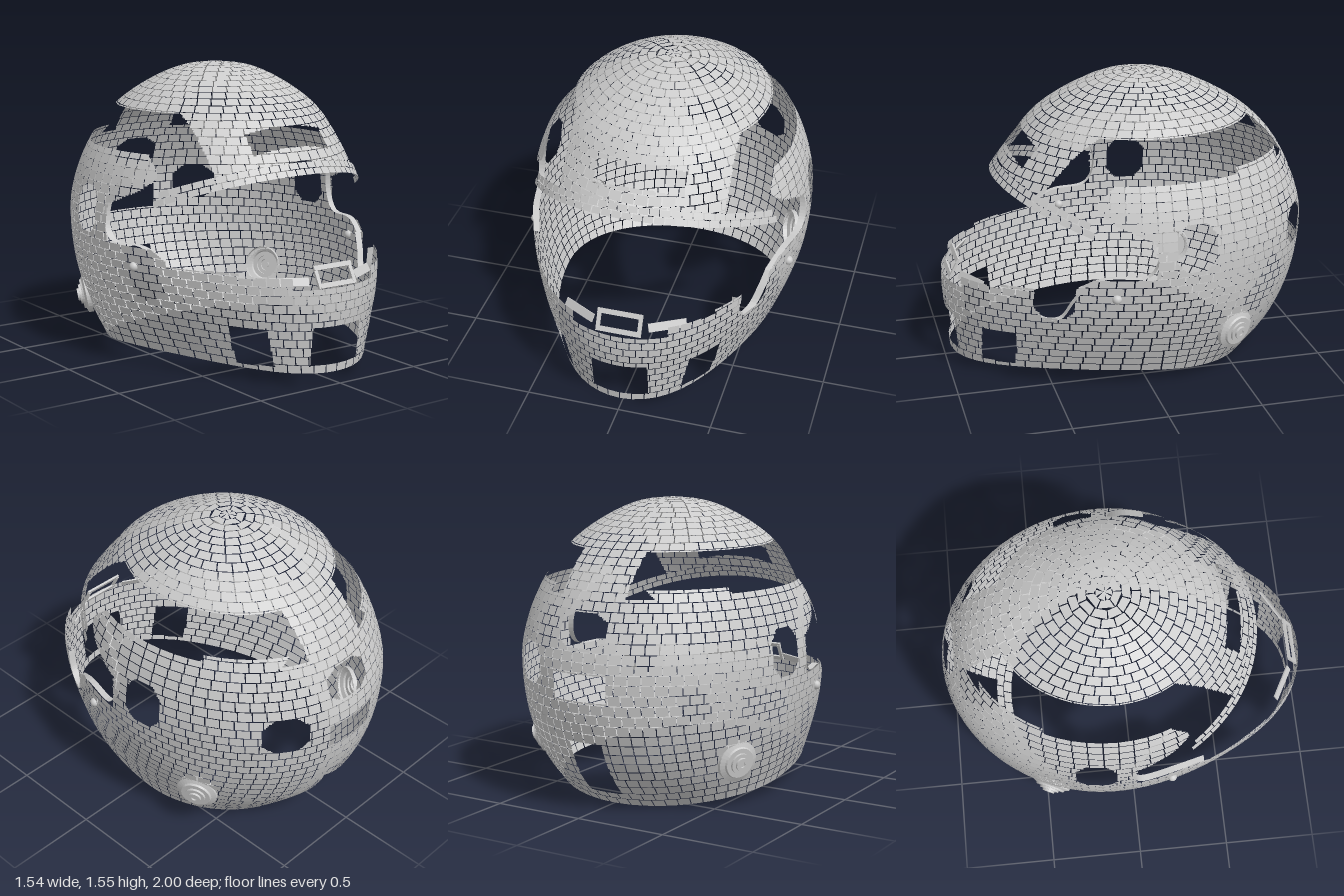
import * as THREE from 'three';

// shell levels: height, half width, front z, back z
const LEVELS = [
  [0, 0.625, 0.97, -0.67], [0.2, 0.69, 0.985, -0.84], [0.4, 0.74, 1.0, -0.94], [0.6, 0.764, 0.98, -0.99],
  [0.8, 0.764, 0.88, -0.995], [1.0, 0.717, 0.735, -0.93], [1.18, 0.63, 0.6, -0.83], [1.33, 0.52, 0.47, -0.68],
  [1.45, 0.365, 0.28, -0.48], [1.53, 0.19, 0.09, -0.285], [1.556, 0.0, -0.1, -0.1],
];
const CENTRE = -0.09;
const ROWS = 4 * (LEVELS.length - 1);
const spline = (f) => new THREE.CatmullRomCurve3(LEVELS.map(f), false, 'catmullrom', 0.5);
const widths = spline((l) => new THREE.Vector3(l[1], l[0], 0));
const depths = spline((l) => new THREE.Vector3(l[2], l[0], l[3]));
const { clamp, lerp } = THREE.MathUtils;

// point on the shell: angle from the front towards +x, t from bottom to crown
function shellPoint(angle, t) {
  const w = widths.getPoint(t), d = depths.getPoint(t);
  const s = Math.sin(angle), c = Math.cos(angle);
  const z = CENTRE + c * (c > 0 ? d.x - CENTRE : CENTRE - d.z);
  const pinch = c > 0 ? 0.22 * c * c * s * s * clamp((1.1 - w.y) / 0.4, 0, 1) : 0;
  const rise = 0.09 - 0.09 * ((z - 0.35) / 1.02) ** 2;
  return new THREE.Vector3(w.x * s * (1 - pinch), w.y + rise * Math.max(0, 1 - w.y / 0.7), z);
}

// level t at which the shell reaches a height, for a given angle
function levelAt(angle, y) {
  let lo = 0, hi = 1;
  for (let i = 0; i < 22; i++) {
    const t = (lo + hi) / 2;
    if (shellPoint(angle, t).y < y) lo = t; else hi = t;
  }
  return lo;
}

// point on the shell at a given height and depth
function onShell(y, z, side) {
  let t = 0, angle = 0;
  for (let pass = 0; pass < 3; pass++) {
    t = levelAt(angle, y);
    const d = depths.getPoint(t);
    angle = Math.acos(clamp((z - CENTRE) / (z > CENTRE ? d.x - CENTRE : CENTRE - d.z), -1, 1));
  }
  const p = shellPoint(angle, t);
  p.x *= side;
  return p;
}

// lower edge of the brow, falling towards the sides, and points on the band above it
const browLow = (z) => 1.03 - (0.72 - z) * 0.4;
const BAND = 0.08;
function browPoint(angle, height) {
  let p = shellPoint(angle, 0.5);
  for (let pass = 0; pass < 6; pass++) p = shellPoint(angle, levelAt(angle, browLow(p.z) + height));
  return p;
}

const octagon = (dx, dy) => Math.abs(dx) < 1 && Math.abs(dy) < 1 && Math.abs(dx) + Math.abs(dy) < 1.5;

// front edge of the upper side shell, stepping forward to meet the brow band
function sideEdge(y) {
  if (y < 0.86) return 0;
  return y < 0.94 ? lerp(0.02, 0.2, (y - 0.86) / 0.08) : lerp(0.2, 0.28, clamp((y - 0.94) / 0.06, 0, 1));
}

// which part of the helmet covers this point, or null for an opening
function partAt({ x, y, z }) {
  const a = Math.abs(x);
  if (y > 1.325) return 'crownDome';
  if (z > 0.1 && a < 0.44 && y > browLow(z) + BAND) {
    const arch = 0.03 * (1 - (a / 0.24) ** 2);
    return a < 0.24 && y > 1.13 + arch && y < 1.23 + arch ? null : 'brow';
  }
  if (z > 0) {
    const sill = z > 0.93 ? 0.5 : z > 0.75 ? 0.56 : z > 0.4 ? 0.58 : lerp(0.66, 0.6, clamp((z - 0.3) / 0.1, 0, 1));
    if (y > sill) return z < sideEdge(y) && y < 1.125 - Math.max(0, z - 0.18) * 0.9 ? 'sideShell' : null;
    if (z > 0.85 && a < 0.15 && y > 0.1 && y < 0.3) return null; // chin vent
    if (z > 0.68 && z < 0.84 && y > 0.1 && y < 0.3) return null; // side chin vents
    if (x > 0 && octagon((z - 0.5) / 0.1, (y - 0.53) / 0.11)) return null; // visor tab notch
    return 'chinBar';
  }
  const top = z < -0.78 ? 1.11 : z < -0.47 ? 1.155 : 1.125;
  if (y > top) return a < 0.19 && z < -0.4 ? 'rearShell' : null;
  if (octagon((z + 0.215) / 0.11, (y - 0.8) / 0.125)) return null; // ear openings
  if (Math.hypot(z + 0.47, y - 0.27) < 0.09) return null; // behind the side discs
  if (z < -0.5) {
    if (octagon(x / 0.14, (y - 0.95) / 0.085)) return null;
    if (a < 0.155 && y > 0.6 && y < 0.74) return null;
    if (a < 0.1 && y > 0.08 && y < 0.38) return null;
    if (octagon((x - 0.375) / 0.105, (y - 0.745) / 0.1)) return null;
  }
  return z > -0.5 ? 'sideShell' : 'rearShell';
}

export function createModel() {
  const model = new THREE.Group();
  const grey = new THREE.MeshStandardMaterial({ color: 0xcccccc, flatShading: true, side: THREE.DoubleSide });
  const smooth = new THREE.MeshStandardMaterial({ color: 0xcccccc, side: THREE.DoubleSide });
  const add = (name, geometry, material = grey) => {
    const mesh = new THREE.Mesh(geometry, material);
    mesh.name = name;
    model.add(mesh);
    return mesh;
  };

  // brick-laid flat tiles; those crossing an opening are cut into small cells
  const parts = {};
  const quad = (part, p, q, r, s) => (parts[part] ??= []).push(p, q, r, p, r, s);
  const NU = 8, NV = 6;
  for (let row = 0; row < ROWS; row++) {
    const mid = (row + 0.5) / ROWS;
    const w = widths.getPoint(mid).x, d = depths.getPoint(mid);
    const around = Math.PI * (w + (d.x - d.z) / 2);
    const count = Math.max(6, Math.round(around / 0.075));
    const step = (Math.PI * 2) / count;
    const gap = Math.min(0.1, 0.003 / (around / count)) * step;
    const t0 = (row + 0.04) / ROWS, t1 = (row + 0.96) / ROWS;
    for (let i = 0; i < count; i++) {
      const u0 = (i + (row % 2) / 2) * step + gap, u1 = u0 + step - 2 * gap;
      const [a, b, c, e] = [[u0, t0], [u1, t0], [u1, t1], [u0, t1]].map((q) => shellPoint(...q));
      const at = (u, v) => a.clone().lerp(b, u).lerp(e.clone().lerp(c, u), v);
      const cells = [];
      for (let j = 0; j < NU; j++) for (let k = 0; k < NV; k++) {
        cells.push({ j, k, part: partAt(at((j + 0.5) / NU, (k + 0.5) / NV)) });
      }
      if (cells.every((cell) => cell.part)) {
        quad(cells[0].part, a, b, c, e);
        continue;
      }
      for (const { j, k, part } of cells) {
        if (part) quad(part, ...[[j, k], [j + 1, k], [j + 1, k + 1], [j, k + 1]].map(([m, n]) => at(m / NU, n / NV)));
      }
    }
  }

  // two rows of tiles along the lower edge of the brow
  const bandEnd = 1.13, bandCount = 28, bandStep = (2 * bandEnd) / bandCount;
  for (let row = 0; row < 2; row++) for (let i = 0; i < bandCount - row; i++) {
    const u0 = -bandEnd + (i + row / 2) * bandStep + 0.004, u1 = u0 + bandStep - 0.008;
    const h0 = (row * BAND) / 2 + 0.002, h1 = h0 + BAND / 2 - 0.004;
    quad('browBand', browPoint(u0, h0), browPoint(u1, h0), browPoint(u1, h1), browPoint(u0, h1));
  }
  for (const [name, points] of Object.entries(parts)) {
    const geometry = new THREE.BufferGeometry().setFromPoints(points);
    geometry.computeVertexNormals();
    add(name, geometry);
  }

  // flat lip turned inwards from the shell along a path of (z, y) points
  const lip = (name, path, side, depth) => {
    const edge = new THREE.CatmullRomCurve3(path.map(([z, y]) => onShell(y, z, side))).getPoints(30);
    const inner = edge.map((p) => new THREE.Vector3(p.x - side * depth, p.y, p.z));
    const points = edge.slice(1).flatMap((p, i) => [edge[i], p, inner[i + 1], edge[i], inner[i + 1], inner[i]]);
    const geometry = new THREE.BufferGeometry().setFromPoints(points);
    geometry.computeVertexNormals();
    add(name, geometry);
  };
  const discProfile = [[0.11, -0.015], [0.11, 0.01], [0.085, 0.02], [0.08, 0.03], [0.055, 0.03], [0.055, 0.042],
    [0.035, 0.042], [0.035, 0.054], [0.015, 0.054], [0.015, 0.046], [0, 0.046]]
    .map(([r, h]) => new THREE.Vector2(r, h));
  for (const side of [1, -1]) {
    // stepped round fixing on each side, open towards the inside
    const disc = add('sideDisc', new THREE.LatheGeometry(discProfile, 32));
    disc.position.copy(onShell(0.265, -0.47, side));
    disc.quaternion.setFromUnitVectors(new THREE.Vector3(0, 1, 0), new THREE.Vector3(side * 0.88, -0.18, -0.43).normalize());

    // small visor knob
    const knob = add('visorKnob', new THREE.SphereGeometry(0.025, 16, 10), smooth);
    knob.position.copy(onShell(0.55, 0.2, side));

    // rim around the visor opening
    lip('visorRim', [[0.38, 0.6], [0.25, 0.66], [0.04, 0.67], [-0.01, 0.74], [-0.01, 0.86], [0.06, 0.98], [0.17, 1.07]], side, 0.035);

    // plates behind the chin top
    const plate = add('chinPlate', new THREE.BoxGeometry(0.2, 0.045, 0.008));
    plate.position.set(side * 0.235, 0.53, 0.875);
    plate.rotation.set(-0.5, side * 0.5, 0, 'YXZ');

    // posts of the centre frame
    const post = add('chinFramePost', new THREE.BoxGeometry(0.02, 0.1, 0.012));
    post.position.set(side * 0.11, 0.55, 0.945);
    post.rotation.x = -0.5;
  }
  lip('visorTabRim', [[0.61, 0.57], [0.59, 0.45], [0.54, 0.41], [0.47, 0.42], [0.41, 0.52], [0.36, 0.6]], 1, 0.04);

  // centre frame on the chin
  [[0.595, 0.925], [0.51, 0.965]].forEach(([y, z]) => {
    const bar = add('chinFrameBar', new THREE.BoxGeometry(0.24, 0.025, 0.012));
    bar.position.set(0, y, z);
    bar.rotation.x = -0.5;
  });
  return model;
}
